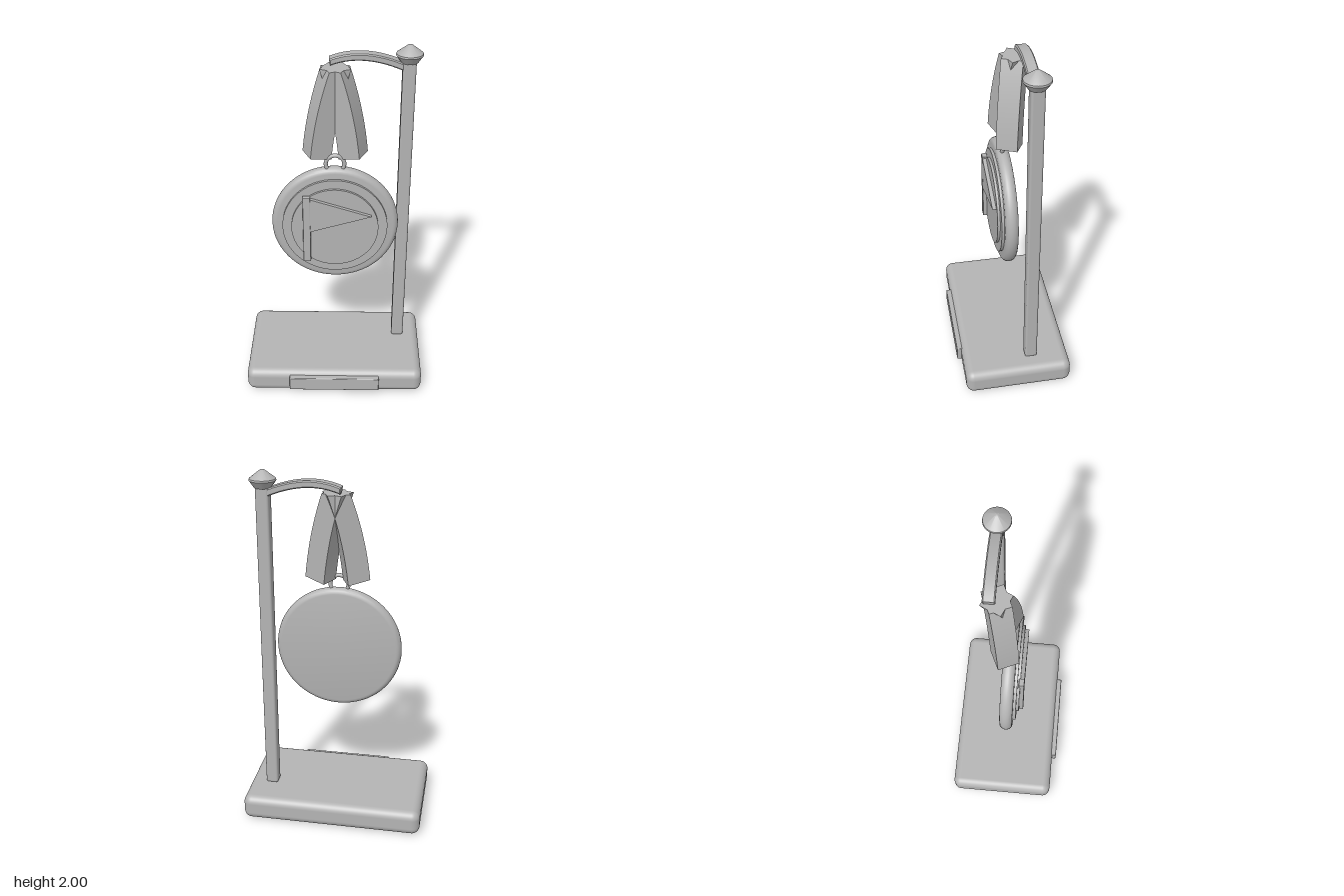
import * as THREE from 'three';
import { RoundedBoxGeometry } from 'three/addons/geometries/RoundedBoxGeometry.js';
import { toCreasedNormals } from 'three/addons/utils/BufferGeometryUtils.js';

export function createModel() {
  const model = new THREE.Group();
  const grey = new THREE.MeshStandardMaterial({ color: 0xb4b4b4 });
  grey.name = 'grey';

  const add = (name, geometry, x = 0, y = 0, z = 0) => {
    const mesh = new THREE.Mesh(geometry, grey);
    mesh.name = name;
    mesh.position.set(x, y, z);
    model.add(mesh);
    return mesh;
  };
  const lathe = (points, segments) => toCreasedNormals(
    new THREE.LatheGeometry(points.map(([r, y]) => new THREE.Vector2(r, y)), segments), 0.6);

  // Base with its front plate
  add('base', new RoundedBoxGeometry(1.02, 0.145, 0.61, 5, 0.045), 0, 0.0725, -0.015);
  add('basePlate', new RoundedBoxGeometry(0.52, 0.085, 0.04, 2, 0.005), 0, 0.0775, 0.295);

  // Post and finial
  add('post', new RoundedBoxGeometry(0.07, 1.77, 0.07, 3, 0.012), 0.38, 1.03, -0.1);
  add('finial', lathe([[0, 1.905], [0.045, 1.905], [0.071, 1.943], [0.069, 1.952],
    [0.012, 1.996], [0, 2]], 40), 0.38, 0, -0.1);

  // Curved arm
  const arm = new THREE.Shape();
  arm.moveTo(-0.023, 1.898);
  arm.quadraticCurveTo(0.15, 1.965, 0.37, 1.862);
  arm.lineTo(0.37, 1.89);
  arm.quadraticCurveTo(0.15, 1.99, -0.026, 1.921);
  add('arm', toCreasedNormals(new THREE.ExtrudeGeometry(arm, {
    depth: 0.05, curveSegments: 16, bevelSize: 0.006, bevelThickness: 0.006, bevelSegments: 1,
  }), 0.4), 0, 0, -0.126);

  // Two crossing straps, each bending outward in its own plane
  for (const side of [-1, 1]) {
    const strap = new THREE.Shape();
    strap.moveTo(0, 1.885);
    strap.quadraticCurveTo(side * 0.085, 1.66, side * 0.11, 1.42);
    strap.lineTo(side * -0.01, 1.395);
    strap.quadraticCurveTo(side * -0.036, 1.65, side * -0.121, 1.885);
    const geometry = new THREE.ExtrudeGeometry(strap, {
      depth: 0.114, curveSegments: 14, bevelEnabled: false,
    });
    const mesh = add(side < 0 ? 'rightStrap' : 'leftStrap',
      toCreasedNormals(geometry, 0.5), side * 0.075, 0, -0.095);
    mesh.rotation.y = -side * 0.42;
  }

  // Hanging ring
  add('ring', new THREE.TorusGeometry(0.05, 0.011, 12, 36), 0, 1.368, 0.005);

  // Medal body with a rounded rim
  const rim = [[0, -0.035]];
  for (let i = 0; i <= 10; i++) {
    const a = -Math.PI / 2 + Math.PI * i / 10;
    rim.push([0.32 + 0.03 * Math.cos(a), 0.035 * Math.sin(a)]);
  }
  rim.push([0, 0.035]);
  add('medal', lathe(rim, 64).rotateX(Math.PI / 2), 0, 1, 0);

  // Raised steps on the medal face
  for (const [name, radius, front] of [['outerStep', 0.29, 0.05], ['innerStep', 0.24, 0.064]]) {
    const step = new THREE.CylinderGeometry(radius, radius, 0.025, 64).rotateX(Math.PI / 2);
    add(name, step, 0, 1, front - 0.0125);
  }

  // Pennant and pole in relief
  add('pennantPole', new RoundedBoxGeometry(0.042, 0.41, 0.03, 2, 0.004), -0.154, 0.995, 0.071);
  const pennant = new THREE.Shape([[-0.135, 0.985], [0.2, 1.085], [-0.135, 1.19]]
    .map(([x, y]) => new THREE.Vector2(x, y)));
  add('pennant', new THREE.ExtrudeGeometry(pennant, { depth: 0.025, bevelEnabled: false }), 0, 0, 0.06);

  return model;
}
